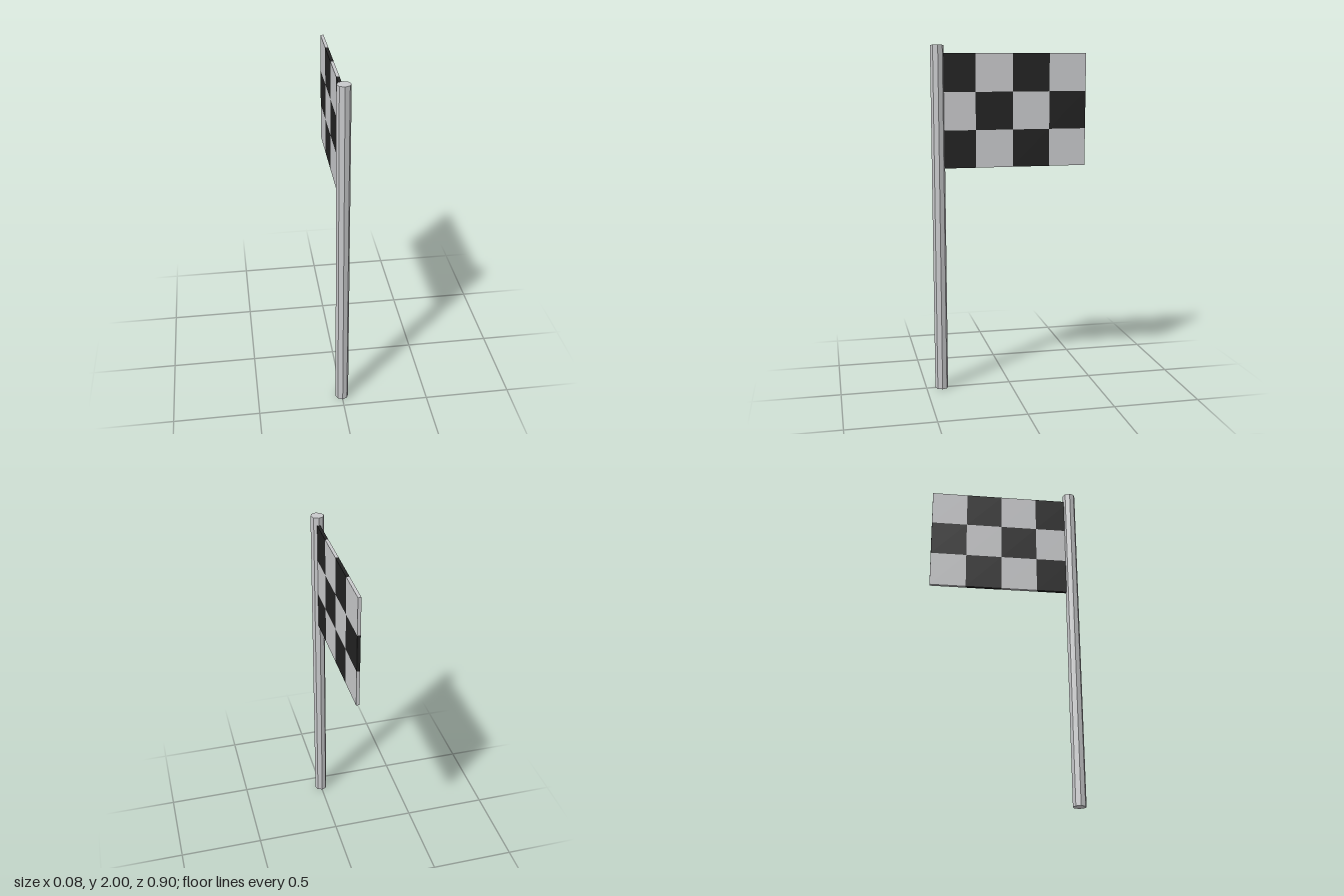
import * as THREE from 'three';

export function createModel() {
  const model = new THREE.Group();
  model.name = 'chequeredFlag';

  const lightGrey = new THREE.MeshStandardMaterial({ color: 0xc8c9cb });
  lightGrey.name = 'lightGrey';
  lightGrey.flatShading = true;
  const black = new THREE.MeshStandardMaterial({ color: 0x222222 });
  black.name = 'black';

  // Eight-sided pole
  const poleZ = 0.41;
  const pole = new THREE.Mesh(new THREE.CylinderGeometry(0.038, 0.038, 2, 8), lightGrey);
  pole.name = 'pole';
  pole.position.set(0, 1, poleZ);
  model.add(pole);

  // Flag: 3 rows by 4 columns of thin squares, starting inside the pole
  const flag = new THREE.Group();
  flag.name = 'flag';
  const cell = 0.215, top = 1.955, thickness = 0.018;
  const square = new THREE.BoxGeometry(thickness, cell, cell);
  for (let row = 0; row < 3; row++) {
    for (let col = 0; col < 4; col++) {
      const mesh = new THREE.Mesh(square, (row + col) % 2 ? lightGrey : black);
      mesh.name = `flagSquare${row + 1}${col + 1}`;
      mesh.position.set(0, top - cell * (row + 0.5), poleZ - cell * (col + 0.5));
      flag.add(mesh);
    }
  }
  model.add(flag);

  return model;
}
